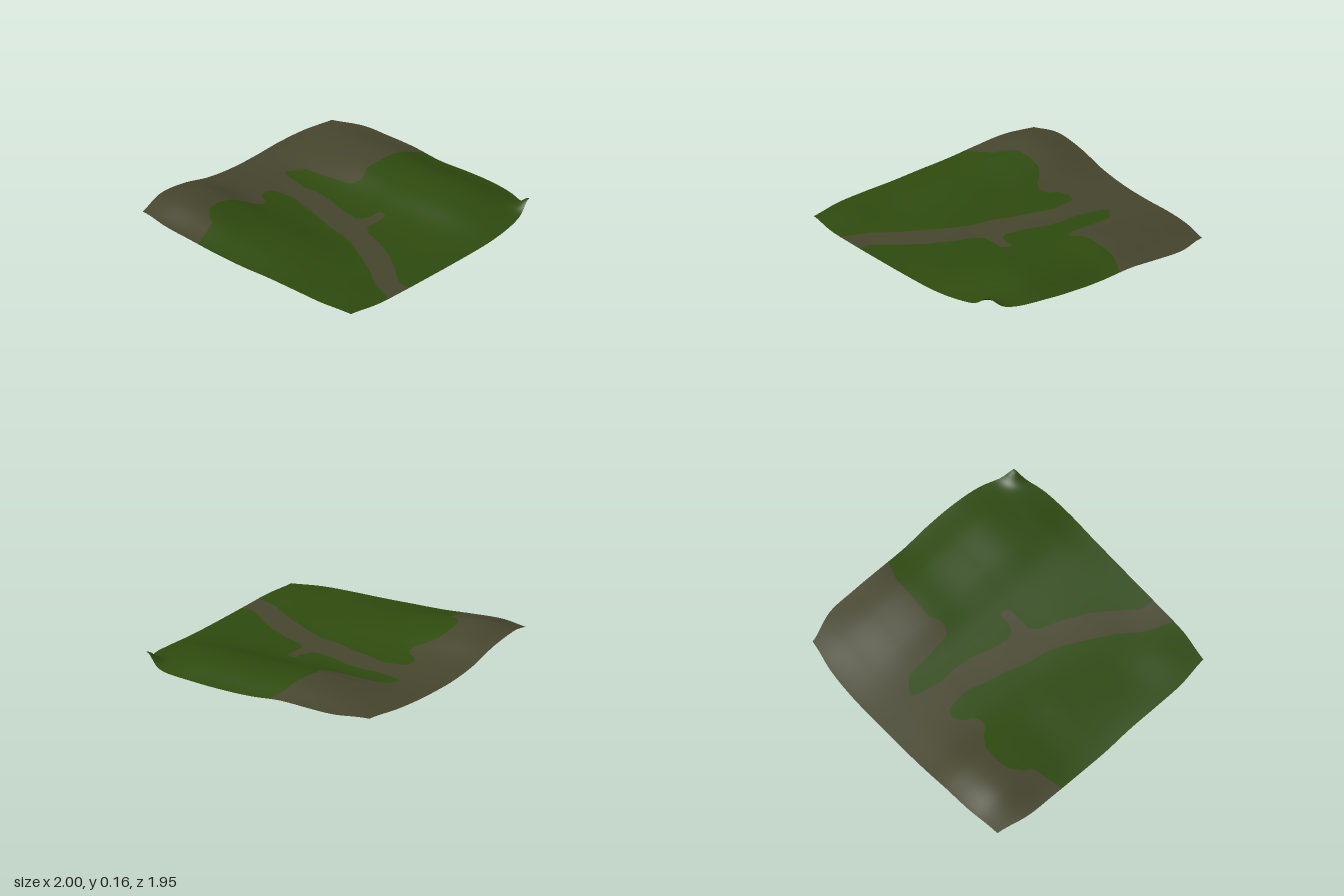
import * as THREE from 'three';

// Control heights in hundredths: rows run back to front, columns run -x to +x, spacing 0.25
const HEIGHTS = [
  [9, 13.3, 11, 5, 2, 1.5, 2, 2.2, 2],
  [10, 16.5, 13.8, 5.8, 2.4, 2, 4.2, 5.2, 3],
  [8.5, 13.5, 11.5, 5, 2.4, 2.2, 7, 8, 3.5],
  [6.5, 10, 8.5, 4, 2, 2.5, 8.8, 9.6, 4],
  [5.5, 8, 7, 3, 1.8, 2.6, 8, 8.6, 2.2],
  [5, 6, 5, 2.4, 1.5, 2.8, 8.6, 9, 2.8],
  [4.5, 4, 3, 1.8, 1.6, 3, 9, 9.4, 3.4],
  [3.5, 3.4, 1.5, 1.2, 1.4, 2.6, 6.6, 6.6, 3],
  [2, 1.5, 1.2, 1, 1, 1.3, 2.5, 4.5, 3],
];

// Rounded outline of the sheet, sampled evenly along each side
const LEFT = [-0.95, -0.995, -1, -1, -1, -0.99, -0.99, -0.985, -0.95];
const RIGHT = [0.91, 0.985, 0.99, 0.985, 0.985, 0.995, 0.99, 0.96, 0.88];
const BACK = [-0.94, -0.975, -0.98, -0.98, -0.98, -0.98, -0.98, -0.96, -0.91];
const FRONT = [0.93, 0.965, 0.97, 0.97, 0.97, 0.97, 0.97, 0.95, 0.89];

// Borders of the two meadows (x, z); the bare ground lies between and behind them
const MEADOWS = [
  [[-1.1, -0.38], [-1, -0.4], [-0.78, -0.46], [-0.75, -0.52], [-0.68, -0.58], [-0.58, -0.6], [-0.45, -0.59],
    [-0.38, -0.54], [-0.33, -0.48], [-0.28, -0.46], [-0.22, -0.49], [-0.19, -0.55], [-0.12, -0.59], [-0.06, -0.57],
    [-0.05, -0.48], [-0.04, -0.38], [-0.08, -0.27], [-0.12, -0.1], [-0.17, 0.03], [-0.2, 0.2], [-0.25, 0.32],
    [-0.35, 0.5], [-0.42, 0.62], [-0.54, 0.78], [-0.61, 0.96], [-0.62, 1.1], [-1.1, 1.1]],
  [[1.1, -0.13], [0.97, -0.16], [0.85, -0.21], [0.7, -0.22], [0.5, -0.23], [0.45, -0.2], [0.4, -0.18], [0.33, -0.22],
    [0.31, -0.4], [0.3, -0.6], [0.24, -0.65], [0.19, -0.69], [0.16, -0.64], [0.14, -0.55], [0.12, -0.45],
    [0.13, -0.35], [0.11, -0.2], [0.06, -0.05], [0.04, 0.08], [0.06, 0.12], [0.14, 0.15], [0.2, 0.14], [0.21, 0.18],
    [0.19, 0.22], [0, 0.22], [-0.05, 0.28], [-0.1, 0.42], [-0.18, 0.58], [-0.28, 0.72], [-0.38, 0.84],
    [-0.41, 0.9], [-0.4, 1.1], [1.1, 1.1]],
];

// Smooth curve through evenly spaced values, t from -1 to 1
function spline(values, t) {
  const last = values.length - 1;
  const p = THREE.MathUtils.clamp((t + 1) / 2, 0, 1) * last;
  const i = Math.min(Math.floor(p), last - 1);
  const f = p - i;
  const [a, b, c, d] = [-1, 0, 1, 2].map((k) => values[THREE.MathUtils.clamp(i + k, 0, last)]);
  return b + 0.5 * f * (c - a + f * (2 * a - 5 * b + 4 * c - d + f * (3 * (b - c) + d - a)));
}

// Rolling hills plus the sharp peak at the front left corner
function height(x, z) {
  const hills = spline(HEIGHTS.map((row) => spline(row, x)), z) / 100;
  const r = Math.hypot(x - 0.88, z - 0.89);
  return hills + 0.08 * Math.exp(-((r / 0.075) ** 2));
}

// Signed distance to a polygon, positive inside
function inside(poly, x, z) {
  let best = Infinity;
  let within = false;
  poly.forEach(([ax, az], i) => {
    const [bx, bz] = poly[(i + 1) % poly.length];
    const dx = bx - ax, dz = bz - az;
    const t = THREE.MathUtils.clamp(((x - ax) * dx + (z - az) * dz) / (dx * dx + dz * dz), 0, 1);
    best = Math.min(best, Math.hypot(x - ax - t * dx, z - az - t * dz));
    if ((az > z) !== (bz > z) && x < ax + ((z - az) / dz) * dx) within = !within;
  });
  return within ? best : -best;
}

// Keep the part of a triangle where sign * g is positive
function clip(tri, sign) {
  const out = [];
  tri.forEach((p, i) => {
    const q = tri[(i + 1) % 3];
    const a = sign * p.g, b = sign * q.g;
    if (a >= 0) out.push(p);
    if (a * b < 0) {
      const t = a / (a - b);
      const mix = (k) => p[k] + (q[k] - p[k]) * t;
      out.push({ x: mix('x'), z: mix('z'), g: 0 });
    }
  });
  return out;
}

// Build the surface of one kind of ground from the clipped grid
function groundGeometry(triangles, sign) {
  const positions = [], normals = [];
  const e = 0.004;
  const n = new THREE.Vector3();
  const add = ({ x, z }) => {
    positions.push(x, height(x, z), z);
    n.set(height(x - e, z) - height(x + e, z), 2 * e, height(x, z - e) - height(x, z + e)).normalize();
    normals.push(n.x, n.y, n.z);
  };
  for (const tri of triangles) {
    const poly = clip(tri, sign);
    for (let k = 1; k < poly.length - 1; k++) [poly[0], poly[k], poly[k + 1]].forEach(add);
  }
  const geometry = new THREE.BufferGeometry();
  geometry.setAttribute('position', new THREE.Float32BufferAttribute(positions, 3));
  geometry.setAttribute('normal', new THREE.Float32BufferAttribute(normals, 3));
  return geometry;
}

export function createModel() {
  const group = new THREE.Group();
  group.name = 'terrain';

  // Grid points stretched to the rounded outline
  const N = 90;
  const points = [];
  for (let j = 0; j <= N; j++) {
    for (let i = 0; i <= N; i++) {
      const u = (2 * i) / N - 1, v = (2 * j) / N - 1;
      const x = THREE.MathUtils.lerp(spline(LEFT, v), spline(RIGHT, v), (u + 1) / 2);
      const z = THREE.MathUtils.lerp(spline(BACK, u), spline(FRONT, u), (v + 1) / 2);
      points.push({ x, z, g: Math.max(...MEADOWS.map((m) => inside(m, x, z))) });
    }
  }
  const triangles = [];
  for (let j = 0; j < N; j++) {
    for (let i = 0; i < N; i++) {
      const a = points[j * (N + 1) + i], b = points[j * (N + 1) + i + 1];
      const c = points[(j + 1) * (N + 1) + i], d = points[(j + 1) * (N + 1) + i + 1];
      triangles.push([a, c, d], [a, d, b]);
    }
  }

  // Grass meadows and the bare earth path, joined along the border
  const parts = [['meadows', 'grass green', 0x2f4b0f, 1], ['barePath', 'earth brown', 0x47472f, -1]];
  for (const [name, colourName, color, sign] of parts) {
    const material = new THREE.MeshStandardMaterial({ color, side: THREE.DoubleSide });
    material.name = colourName;
    const mesh = new THREE.Mesh(groundGeometry(triangles, sign), material);
    mesh.name = name;
    group.add(mesh);
  }
  return group;
}
